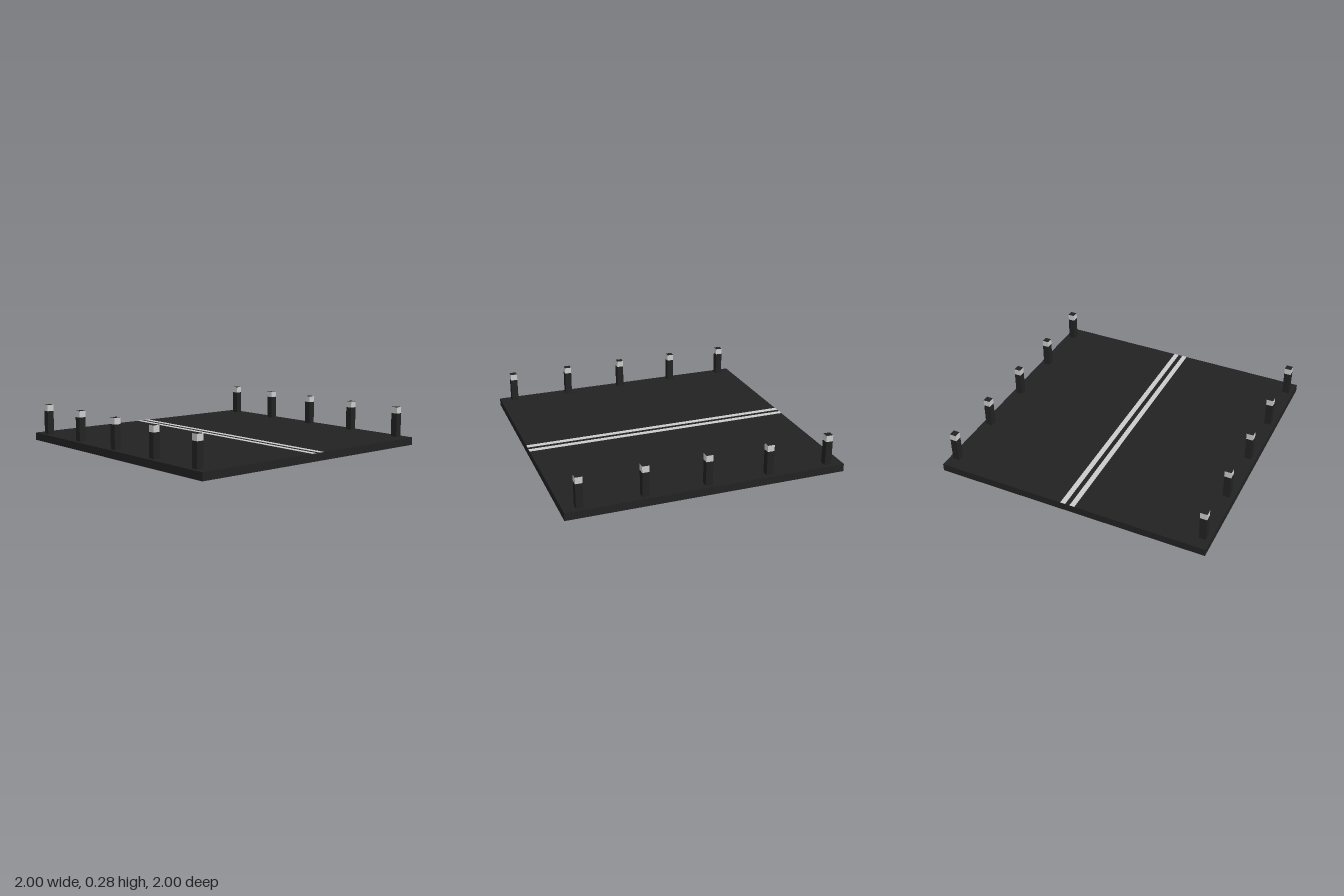
import * as THREE from 'three';

const asphalt = new THREE.MeshStandardMaterial({ color: 0x222222 });
const pale = new THREE.MeshStandardMaterial({ color: 0xcccccc });

const SLAB = 0.056;   // slab thickness
const POST = 0.05;    // post width
const BAND_Y = 0.23;  // where the pale band starts
const TOP = 0.276;    // top of the posts

function box(name, w, h, d, x, bottom, z, material) {
  const mesh = new THREE.Mesh(new THREE.BoxGeometry(w, h, d), material);
  mesh.name = name;
  mesh.position.set(x, bottom + h / 2, z);
  return mesh;
}

// Roadside post: dark shaft, pale sides at the head, dark top
function makePost(x, z) {
  const post = new THREE.Group();
  post.name = 'post';
  post.position.set(x, 0, z);
  post.add(box('postShaft', POST, BAND_Y - SLAB, POST, 0, SLAB, 0, asphalt));
  post.add(box('postBand', POST, TOP - BAND_Y, POST, 0, BAND_Y, 0,
    [pale, pale, asphalt, asphalt, pale, pale]));
  return post;
}

export function createModel() {
  const model = new THREE.Group();
  model.name = 'roadSection';
  model.add(box('roadSlab', 2, SLAB, 2, 0, 0, 0, asphalt));

  for (const side of [-1, 1]) {
    // Double centre line
    model.add(box('centreLine', 2, 0.002, 0.037, 0, SLAB, side * 0.035, pale));
    // Row of posts along each edge
    for (let i = -2; i <= 2; i++) model.add(makePost(i * 0.445, side * 0.945));
  }
  return model;
}
